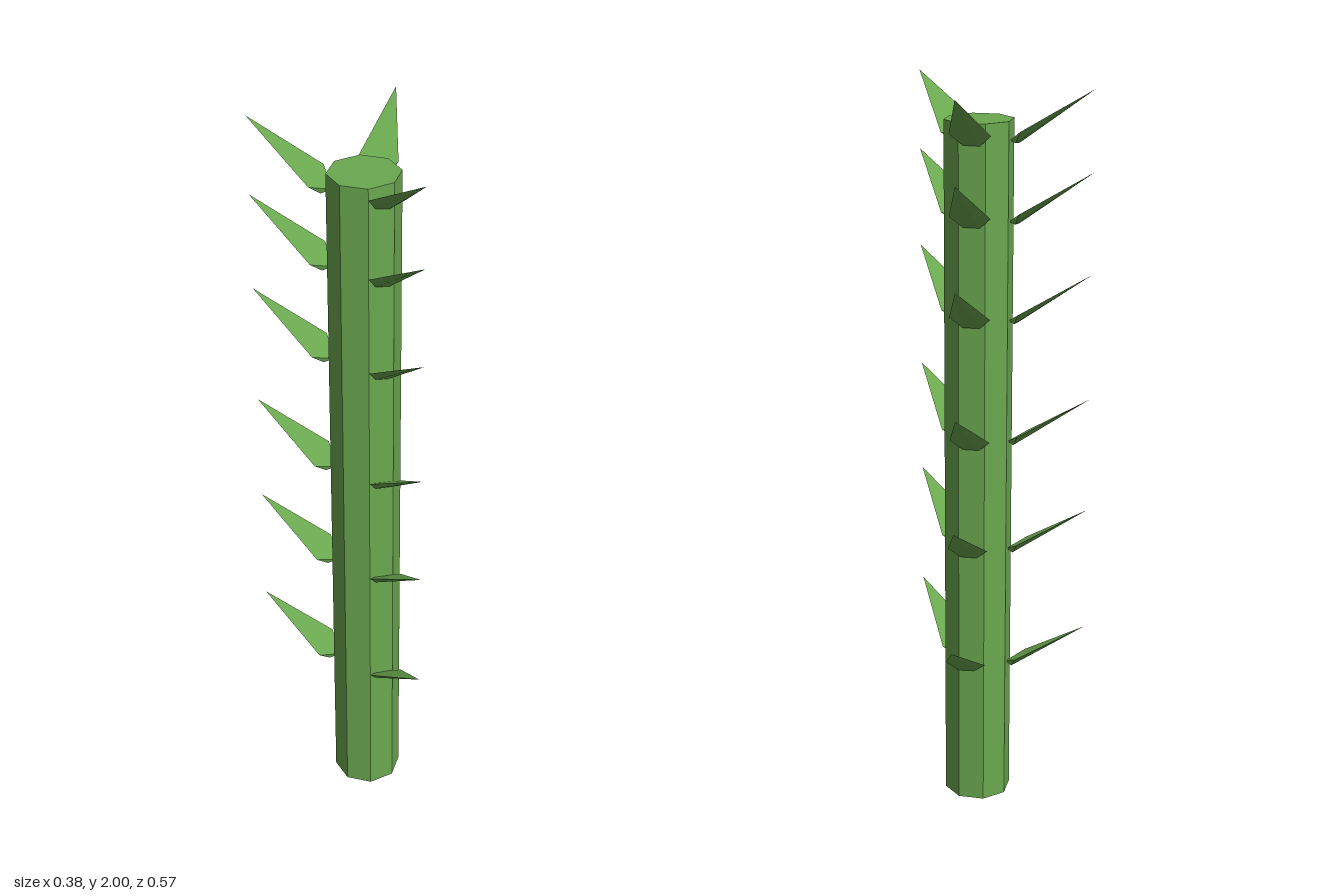
import * as THREE from 'three';
import { ConvexGeometry } from 'three/addons/geometries/ConvexGeometry.js';

const V = (x, y, z) => new THREE.Vector3(x, y, z);

// Flat thorn: pointed tip, two shoulders, a root inside the stem and a shallow belly
function thornGeometry(tip, a, b) {
  const mid = a.clone().add(b).multiplyScalar(0.5);
  const inward = mid.clone().sub(tip).setY(0).normalize();
  const slope = (tip.y - mid.y) / Math.hypot(tip.x - mid.x, tip.z - mid.z);
  const root = mid.clone().addScaledVector(inward, 0.043);
  root.y -= 0.043 * slope;
  const belly = [0.3, 0.7].map((t) => {
    const p = a.clone().lerp(b, t).addScaledVector(inward, 0.02);
    p.y -= 0.02 * slope + 0.018;
    return p;
  });
  return new ConvexGeometry([tip, a, b, root, ...belly]);
}

export function createModel() {
  const group = new THREE.Group();
  const green = new THREE.MeshStandardMaterial({ color: 0x6aa84f, flatShading: true });

  // Eight-sided stem
  const stem = new THREE.Mesh(new THREE.CylinderGeometry(0.092, 0.092, 1.91, 8), green);
  stem.name = 'stem';
  stem.position.set(-0.083, 0.955, 0.012);
  group.add(stem);

  // One thorn of each direction, heights measured from the tip
  const thorns = {
    frontThorn: thornGeometry(V(-0.195, 0, 0.283), V(-0.17, -0.105, 0.095), V(-0.072, -0.135, 0.125)),
    backThorn: thornGeometry(V(-0.167, 0, -0.285), V(-0.175, -0.125, -0.085), V(-0.077, -0.112, -0.118)),
    leftThorn: thornGeometry(V(0.19, 0, -0.106), V(-0.01, -0.118, -0.075), V(0.045, -0.113, 0.016)),
  };

  // Whorls of three thorns up the stem
  const tipHeights = [0.54, 0.88, 1.19, 1.525, 1.79, 2.0];
  const leftShift = [0.014, 0.007, 0, 0, 0, 0];
  tipHeights.forEach((y, i) => {
    const whorl = new THREE.Group();
    whorl.name = 'thornWhorl';
    whorl.position.y = y;
    for (const [name, geometry] of Object.entries(thorns)) {
      const thorn = new THREE.Mesh(geometry, green);
      thorn.name = name;
      if (name === 'leftThorn') thorn.position.z = leftShift[i];
      whorl.add(thorn);
    }
    group.add(whorl);
  });

  return group;
}
